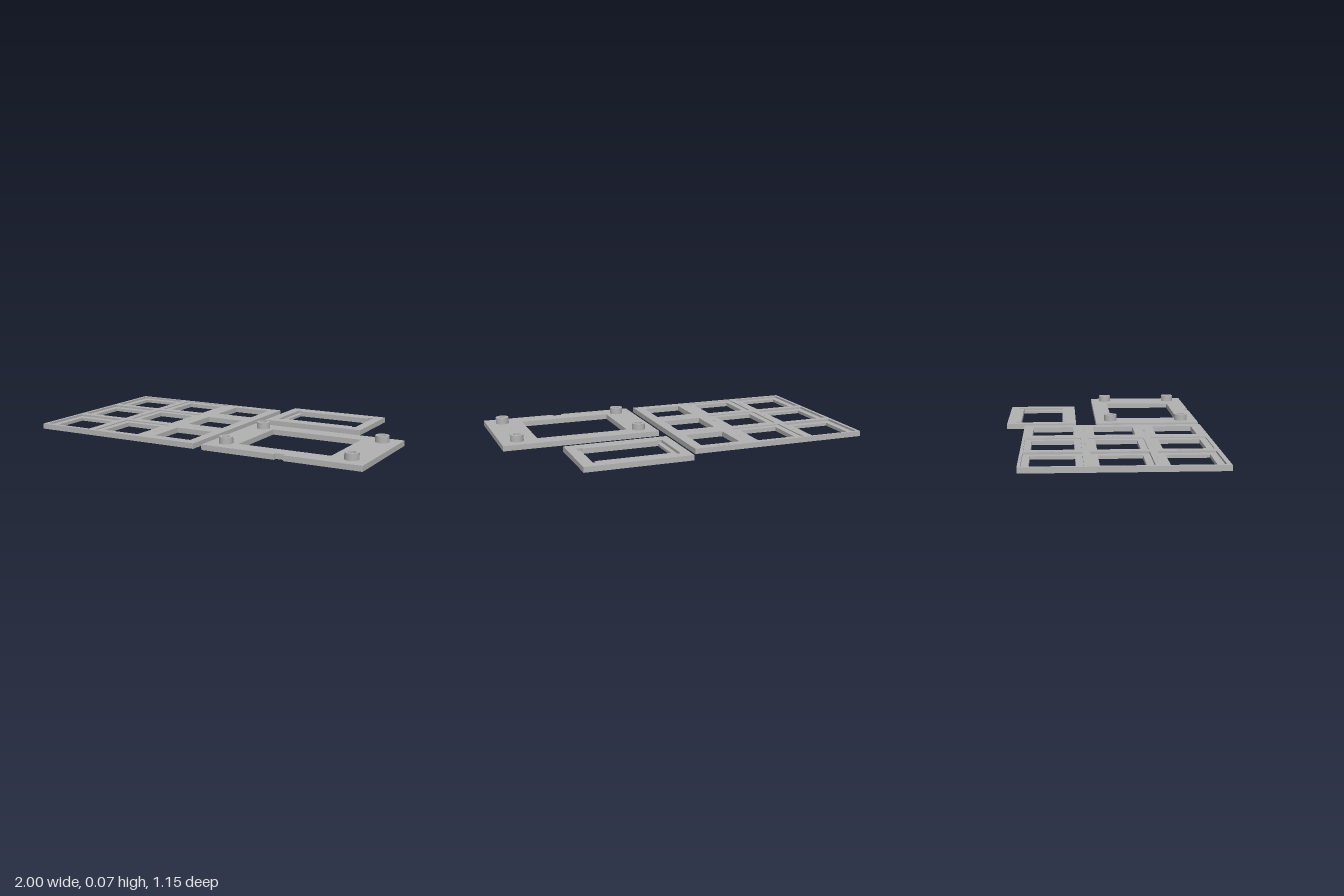
import * as THREE from 'three';

const THICK = 0.03;

// Path from [x, z] points, laid out so that extruding goes upward in y
const trace = (path, pts) => {
  pts.forEach(([x, z], i) => (i ? path.lineTo(x, -z) : path.moveTo(x, -z)));
  path.closePath();
  return path;
};
const rect = (x0, x1, z0, z1) => [[x0, z1], [x1, z1], [x1, z0], [x0, z0]];

export function createModel() {
  const model = new THREE.Group();
  const grey = new THREE.MeshStandardMaterial({ color: 0xb2b2b2 });
  grey.name = 'plain grey';

  // Flat layer between two heights, with cut-outs
  const layer = (parent, name, outline, holes, y0, y1) => {
    const shape = trace(new THREE.Shape(), outline);
    holes.forEach((h) => shape.holes.push(trace(new THREE.Path(), h)));
    const geo = new THREE.ExtrudeGeometry(shape, { depth: y1 - y0, bevelEnabled: false });
    geo.rotateX(-Math.PI / 2);
    geo.translate(0, y0, 0);
    const mesh = new THREE.Mesh(geo, grey);
    mesh.name = name;
    parent.add(mesh);
  };
  const group = (name) => {
    const g = new THREE.Group();
    g.name = name;
    model.add(g);
    return g;
  };

  // Nine-window plate: deep pockets in the left column, shallow in the middle
  const gridPlate = group('gridPlate');
  const plateOutline = rect(-1, 0.04, -0.467, 0.573);
  const centres = [];
  for (let col = 0; col < 3; col++)
    for (let row = 0; row < 3; row++)
      centres.push({ col, row, x: -0.828 + col * 0.347, z: -0.298 + row * 0.347 });
  const cuts = (pocketColumns) => centres.map(({ col, x, z }) => {
    const h = col < pocketColumns ? 0.153 : 0.115;
    return rect(x - h, x + h, z - h, z + h);
  });
  layer(gridPlate, 'gridBase', plateOutline, cuts(0), 0, 0.018);
  layer(gridPlate, 'gridMiddle', plateOutline, cuts(1), 0.018, 0.024);
  layer(gridPlate, 'gridTop', plateOutline, cuts(2), 0.024, THICK);

  // Tiny marker dots counting columns (behind) and rows (beside)
  const dotGeo = new THREE.CylinderGeometry(0.005, 0.005, 0.002, 10);
  const dot = (x, z) => {
    const m = new THREE.Mesh(dotGeo, grey);
    m.name = 'markerDot';
    m.position.set(x, THICK + 0.0005, z);
    gridPlate.add(m);
  };
  centres.forEach(({ col, row, x, z }) => {
    for (let i = 0; i <= col; i++) dot(x + (i - col / 2) * 0.03, z - (row ? 0.172 : 0.161));
    for (let i = 0; i <= row; i++) dot(x - (col ? 0.172 : 0.162), z + (i - row / 2) * 0.03);
  });

  // Small frame with two upright slots beside its opening
  const smallFrame = group('smallFrame');
  const smallOutline = rect(0.09, 0.695, -0.575, -0.163);
  layer(smallFrame, 'smallFrameBase', smallOutline, [rect(0.172, 0.615, -0.493, -0.243)], 0, 0.015);
  const slotted = [
    [0.145, -0.229], [0.174, -0.229], [0.174, -0.243], [0.613, -0.243], [0.613, -0.229], [0.642, -0.229],
    [0.642, -0.517], [0.613, -0.517], [0.613, -0.493], [0.174, -0.493], [0.174, -0.517], [0.145, -0.517],
  ];
  layer(smallFrame, 'smallFrameTop', smallOutline, [slotted], 0.015, THICK);

  // Large frame with a notch in its front edge
  const largeFrame = group('largeFrame');
  const notched = [
    [0.09, 0.573], [0.52, 0.573], [0.52, 0.551], [0.573, 0.551], [0.573, 0.573],
    [1, 0.573], [1, -0.042], [0.09, -0.042],
  ];
  layer(largeFrame, 'largeFramePlate', notched, [rect(0.255, 0.788, 0.058, 0.463)], 0, THICK);

  // Hollow round posts at the corners
  const profile = [[0.021, THICK], [0.021, 0.067], [0.021, 0.067], [0.038, 0.067], [0.038, 0.067], [0.038, THICK]];
  const tube = (r0, r1, y0, y1) => new THREE.LatheGeometry(
    [new THREE.Vector2(r0, y0), new THREE.Vector2(r1, y1)], 32);
  const postMaterial = grey.clone();
  postMaterial.side = THREE.DoubleSide;
  for (const x of [0.187, 0.905])
    for (const z of [0.048, 0.477]) {
      const post = new THREE.Group();
      post.name = 'post';
      for (let i = 0; i < profile.length; i += 2) {
        const wall = new THREE.Mesh(tube(profile[i][0], profile[i + 1][0], profile[i][1], profile[i + 1][1]), postMaterial);
        wall.name = ['postBore', 'postRim', 'postWall'][i / 2];
        post.add(wall);
      }
      post.position.set(x, 0, z);
      largeFrame.add(post);
    }
  return model;
}
